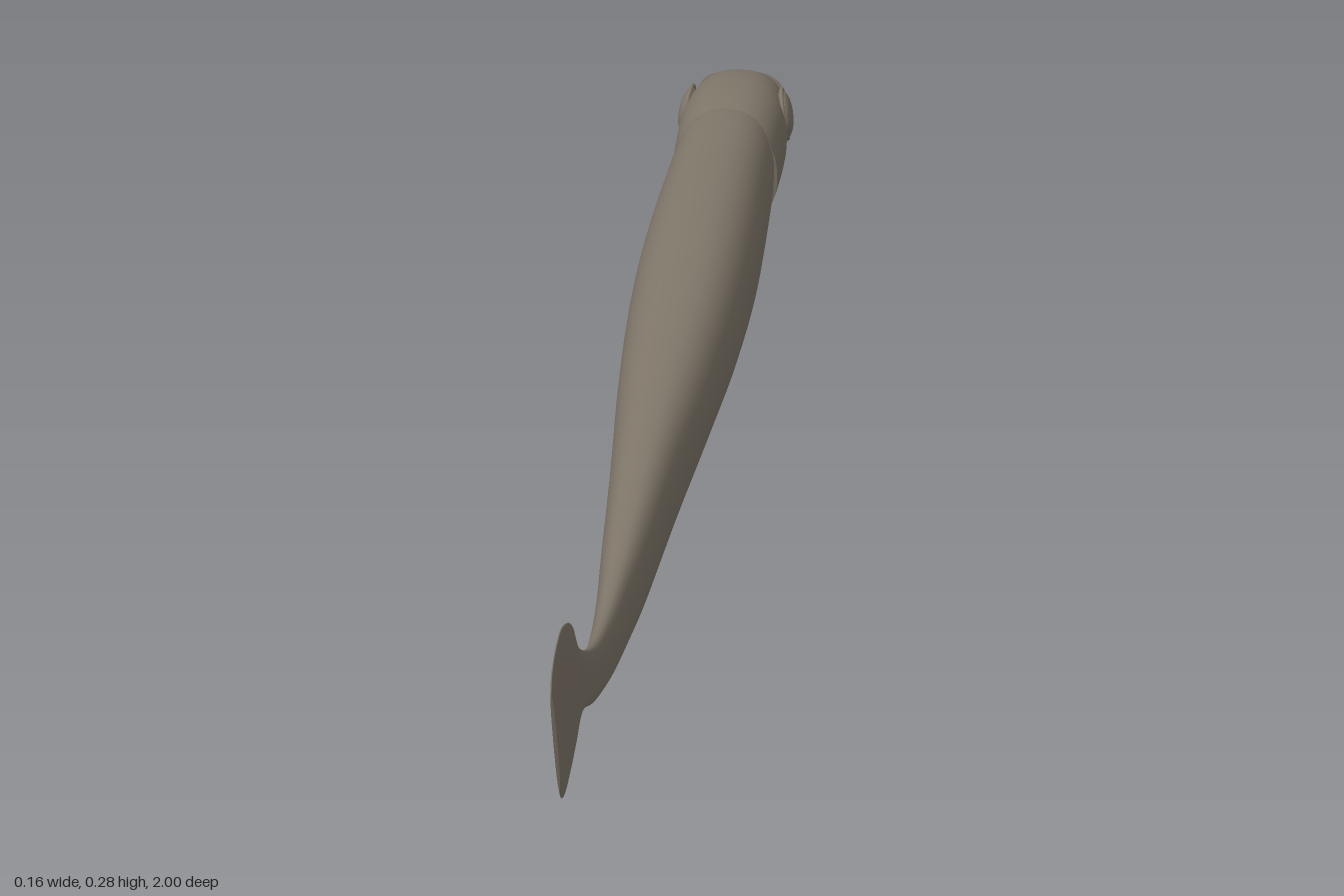
import * as THREE from 'three';

// Smooth tube through sections [zTop, zBottom, top, bottom, halfWidth], ordered by rising z
function loft(rows, steps, power = 2.4, sides = 40) {
  const upper = new THREE.CatmullRomCurve3(rows.map(r => new THREE.Vector3(r[0], r[2], r[4])), false, 'catmullrom', 0.5);
  const lower = new THREE.CatmullRomCurve3(rows.map(r => new THREE.Vector3(r[1], r[3], 0)), false, 'catmullrom', 0.5);
  const pos = [], index = [];
  const bulge = v => Math.sign(v) * Math.pow(Math.abs(v), 2 / power);
  const ring = t => {
    const u = upper.getPoint(t), l = lower.getPoint(t);
    for (let j = 0; j < sides; j++) {
      const a = j / sides * Math.PI * 2;
      const h = 0.5 + 0.5 * bulge(Math.sin(a));
      pos.push(u.z * bulge(Math.cos(a)), l.y + (u.y - l.y) * h, l.x + (u.x - l.x) * h);
    }
    return [0, (u.y + l.y) / 2, (u.x + l.x) / 2];
  };
  for (let i = 0; i <= steps; i++) ring(i / steps);
  for (let i = 0; i < steps; i++) {
    for (let j = 0; j < sides; j++) {
      const k = (j + 1) % sides;
      const a = i * sides + j, b = i * sides + k, c = a + sides, d = b + sides;
      index.push(a, b, c, b, d, c);
    }
  }
  // Separate cap rings keep the end edges sharp
  for (const t of [0, 1]) {
    const start = pos.length / 3;
    pos.push(...ring(t));
    const centre = start + sides;
    for (let j = 0; j < sides; j++) {
      const p = start + j, q = start + (j + 1) % sides;
      if (t) index.push(centre, p, q);
      else index.push(centre, q, p);
    }
  }
  const g = new THREE.BufferGeometry();
  g.setAttribute('position', new THREE.Float32BufferAttribute(pos, 3));
  g.setIndex(index);
  g.computeVertexNormals();
  return g;
}

export function createModel() {
  const model = new THREE.Group();
  const skin = new THREE.MeshStandardMaterial({ color: 0x80776a });
  skin.name = 'grey brown skin';
  const add = (name, geometry) => {
    const mesh = new THREE.Mesh(geometry, skin);
    mesh.name = name;
    model.add(mesh);
    return mesh;
  };

  // Long body, flattening into the upswept tail fin
  add('bodyAndTailFin', loft([
    [-0.8, -0.8, 0.17, 0.04, 0.05],
    [-0.71, -0.71, 0.185, 0.026, 0.065],
    [-0.6, -0.6, 0.19, 0.013, 0.07],
    [-0.4, -0.4, 0.192, 0.003, 0.074],
    [-0.2, -0.2, 0.184, 0.008, 0.07],
    [0, 0, 0.17, 0.017, 0.058],
    [0.2, 0.2, 0.153, 0.018, 0.042],
    [0.4, 0.4, 0.131, 0.02, 0.028],
    [0.5, 0.5, 0.122, 0.028, 0.02],
    [0.6, 0.6, 0.122, 0.045, 0.014],
    [0.7, 0.7, 0.143, 0.075, 0.009],
    [0.8, 0.78, 0.196, 0.108, 0.005],
    [0.85, 0.83, 0.25, 0.096, 0.004],
    [0.915, 0.87, 0.282, 0.089, 0.004],
    [0.96, 0.905, 0.284, 0.086, 0.003],
    [0.99, 0.932, 0.273, 0.093, 0.003],
    [1.0, 0.947, 0.252, 0.11, 0.002],
  ], 128));

  // Head, ending in a raised gill edge over the body
  add('head', loft([
    [-0.94, -0.94, 0.152, 0.05, 0.054],
    [-0.9, -0.9, 0.17, 0.036, 0.064],
    [-0.85, -0.85, 0.181, 0.028, 0.07],
    [-0.8, -0.8, 0.185, 0.024, 0.073],
    [-0.75, -0.75, 0.185, 0.02, 0.072],
    [-0.68, -0.72, 0.18, 0.019, 0.07],
  ], 40));

  // Jaws with an open mouth between them
  add('upperJaw', loft([
    [-1.0, -1.0, 0.122, 0.112, 0.004],
    [-0.996, -0.996, 0.129, 0.108, 0.018],
    [-0.98, -0.98, 0.137, 0.104, 0.035],
    [-0.96, -0.96, 0.145, 0.1, 0.047],
    [-0.94, -0.94, 0.152, 0.096, 0.054],
    [-0.92, -0.92, 0.161, 0.09, 0.059],
  ], 24));
  add('lowerJaw', loft([
    [-0.994, -0.994, 0.085, 0.076, 0.004],
    [-0.99, -0.99, 0.087, 0.069, 0.018],
    [-0.975, -0.975, 0.086, 0.061, 0.035],
    [-0.955, -0.955, 0.086, 0.053, 0.047],
    [-0.935, -0.935, 0.088, 0.048, 0.055],
    [-0.915, -0.915, 0.09, 0.041, 0.06],
  ], 24));

  // Shallow domed eyes with a fine socket rim
  for (const side of [1, -1]) {
    const eye = new THREE.Group();
    eye.name = side > 0 ? 'leftEye' : 'rightEye';
    const dome = new THREE.Mesh(new THREE.SphereGeometry(0.032, 32, 20), skin);
    dome.name = 'eyeball';
    dome.scale.z = 0.36;
    const rim = new THREE.Mesh(new THREE.TorusGeometry(0.034, 0.003, 8, 40), skin);
    rim.name = 'eyeRim';
    eye.add(dome, rim);
    eye.position.set(side * 0.066, 0.128, -0.85);
    eye.rotation.order = 'YXZ';
    eye.rotation.set(-0.15, side * (Math.PI / 2 + 0.07), 0);
    model.add(eye);
  }
  return model;
}
